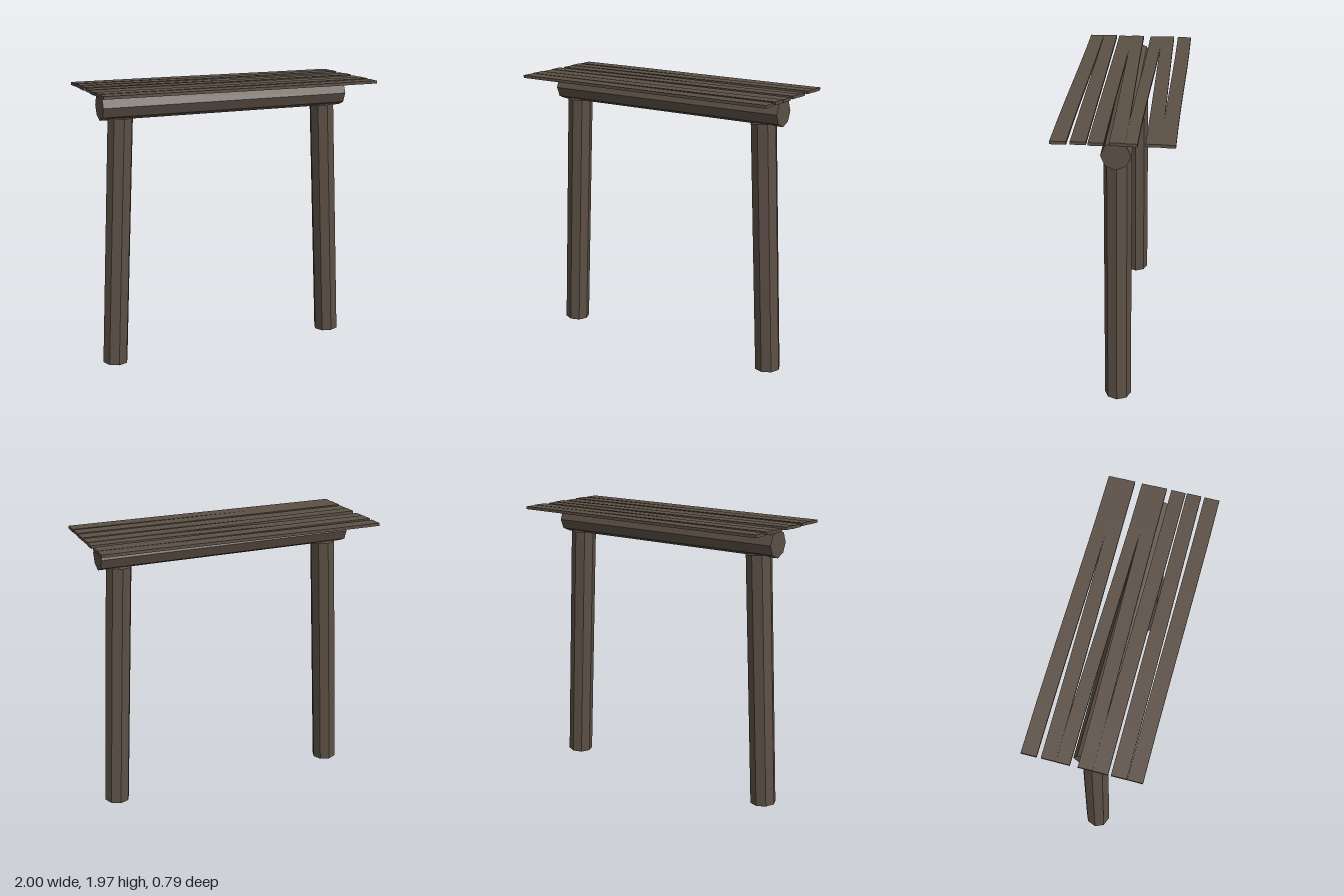
import * as THREE from 'three';

export function createModel() {
  const model = new THREE.Group();
  model.name = 'rusticTable';
  const wood = new THREE.MeshStandardMaterial({ color: 0x5c5046, flatShading: true });
  wood.name = 'darkWood';

  const add = (name, geometry) => {
    const mesh = new THREE.Mesh(geometry, wood);
    mesh.name = name;
    model.add(mesh);
    return mesh;
  };

  // Eight-sided log between two points
  const log = (name, from, to, radius) => {
    const axis = to.clone().sub(from);
    const mesh = add(name, new THREE.CylinderGeometry(radius, radius, axis.length(), 8));
    mesh.position.copy(from).add(to).multiplyScalar(0.5);
    mesh.quaternion.setFromUnitVectors(new THREE.Vector3(0, 1, 0), axis.normalize());
  };

  // Legs leaning in towards the top
  for (const [name, side] of [['leftLeg', 1], ['rightLeg', -1]]) {
    log(name, new THREE.Vector3(side * 0.86, 0.01, 0), new THREE.Vector3(side * 0.775, 1.775, 0), 0.09);
  }

  // Crossbeam under the planks
  log('crossbeam', new THREE.Vector3(-0.92, 1.855, 0), new THREE.Vector3(0.92, 1.855, 0), 0.095);

  // Uneven planks: back and front edge at x = -1, then at x = 1, and height
  const planks = [
    [-0.4, -0.3, -0.37, -0.278, 1.967],
    [-0.272, -0.178, -0.282, -0.187, 1.969],
    [-0.18, -0.09, -0.14, -0.06, 1.966],
    [-0.04, 0.052, -0.065, 0.032, 1.969],
    [0.05, 0.15, 0.063, 0.16, 1.966],
    [0.168, 0.268, 0.17, 0.268, 1.969],
    [0.27, 0.368, 0.29, 0.392, 1.967],
  ];
  planks.forEach(([backL, frontL, backR, frontR, y], i) => {
    const geometry = new THREE.BoxGeometry(2, 0.02, 1, 6, 1, 1);
    const p = geometry.attributes.position;
    for (let k = 0; k < p.count; k++) {
      const t = THREE.MathUtils.smoothstep(p.getX(k), -1, 1);
      const back = THREE.MathUtils.lerp(backL, backR, t);
      const front = THREE.MathUtils.lerp(frontL, frontR, t);
      p.setZ(k, THREE.MathUtils.lerp(back, front, p.getZ(k) + 0.5));
    }
    geometry.computeVertexNormals();
    add(`plank${i + 1}`, geometry).position.y = y;
  });

  return model;
}
